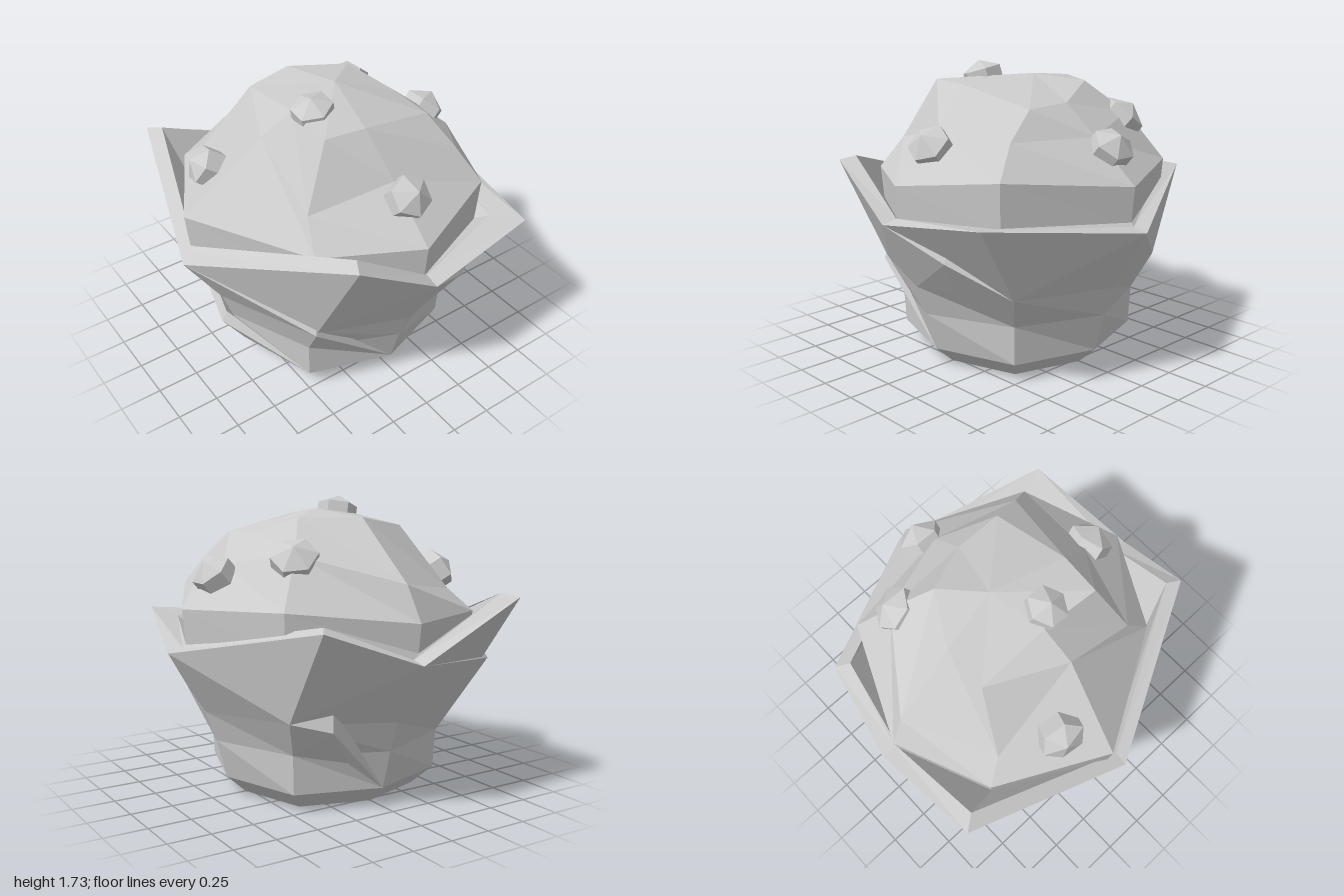
import * as THREE from 'three';

const crust = new THREE.MeshStandardMaterial({ color: 0xcccccc, flatShading: true, side: THREE.DoubleSide });
crust.name = 'pale grey';

// Mesh from a list of triangles, each three [x, y, z] points
function facets(name, tris) {
  const geo = new THREE.BufferGeometry();
  geo.setAttribute('position', new THREE.Float32BufferAttribute(tris.flat(2), 3));
  geo.computeVertexNormals();
  const mesh = new THREE.Mesh(geo, crust);
  mesh.name = name;
  return mesh;
}

// Joins two closed rings; alternating the split makes pleated facets
function band(lo, hi, alternate = false) {
  const tris = [];
  lo.forEach((a, i) => {
    const j = (i + 1) % lo.length, b = lo[j], c = hi[j], d = hi[i];
    if (alternate && i % 2) tris.push([a, b, c], [a, c, d]);
    else tris.push([a, b, d], [b, c, d]);
  });
  return tris;
}

const fan = (ring, tip) => ring.map((p, i) => [p, ring[(i + 1) % ring.length], tip]);
const shrink = (p, s, dy = 0) => [p[0] * s, p[1] + dy, p[2] * s];

// Eight points, on the axes at radius a and on the diagonals at (d, d)
const octagon = (a, d, y) => [[0, y, a], [d, y, d], [a, y, 0], [d, y, -d],
  [0, y, -a], [-d, y, -d], [-a, y, 0], [-d, y, d]];

export function createModel() {
  const model = new THREE.Group();
  model.name = 'muffin';

  // Uneven domed cake top
  const brim = [[-0.07, 1.13, 0.93], [0.62, 1.11, 0.53], [0.91, 1.12, 0], [0.68, 1.19, -0.58],
    [0, 1.12, -0.91], [-0.62, 1.15, -0.62], [-0.92, 1.08, 0.04], [-0.69, 1.08, 0.6]];
  const shoulder = [[0.02, 1.53, 0.47], [0.48, 1.28, 0.48], [0.6, 1.38, 0], [0.53, 1.37, -0.5],
    [0.02, 1.36, -0.64], [-0.46, 1.43, -0.46], [-0.82, 1.28, 0.02], [-0.56, 1.2, 0.52]];
  const crown = [[0.02, 1.62, 0.26], [0.37, 1.63, 0.29], [0.39, 1.62, 0.04], [0.33, 1.52, -0.44],
    [0.04, 1.53, -0.44], [-0.25, 1.62, -0.31], [-0.43, 1.62, 0], [-0.43, 1.57, 0.26]];
  const skirt = brim.map(p => [p[0] * 0.98, 0.92, p[2] * 0.98]);
  model.add(facets('cakeTop', [...band(skirt, brim), ...band(brim, shoulder),
    ...band(shoulder, crown), ...fan(crown, [-0.06, 1.66, -0.08])]));

  // Paper cup: rings from the foot to the pointed rim, then in to the cake
  const foot = octagon(0.53, 0.4, 0);
  const base = octagon(0.65, 0.49, 0.11);
  const low = octagon(0.715, 0.5, 0.34);
  const mid = [[0, 0.52, 0.78], [0.6, 0.54, 0.51], [0.78, 0.52, 0], [0.62, 0.55, -0.62],
    [0, 0.52, -0.78], [-0.6, 0.55, -0.58], [-0.78, 0.52, 0], [-0.6, 0.56, 0.58]];
  const rim = [[0, 0.87, 1], [0.94, 1.2, 0.48], [1, 0.92, 0], [0.93, 1.01, -0.71],
    [0, 0.88, -1], [-0.87, 1.07, -0.54], [-1, 0.87, 0], [-0.96, 1.18, 0.71]];
  const inner = rim.map(p => shrink(p, 0.91, 0.02));
  inner[0] = [0, 0.91, 0.92];
  inner[3] = [0.74, 0.97, -0.61];
  model.add(facets('paperCup', [
    ...fan(foot, [0, 0, 0]).map(t => [t[1], t[0], t[2]]),
    ...band(foot, base), ...band(base, low), ...band(low, mid),
    ...band(mid, rim, true), ...band(rim, inner, true), ...band(inner, skirt, true)]));

  // Overlapping paper folds: outer edge, the line where each meets the cup, lip height
  const folds = [
    { edge: [rim[0], shrink(mid[1], 1.03), base[2]], lower: [mid[0], low[1], base[2]], rise: 0.07 },
    { edge: [rim[2], [0.85, 0.74, -0.33], mid[3]], lower: [mid[2], [0.72, 0.53, -0.25], mid[3]], rise: 0.07 },
    { edge: [mid[5], [-0.72, 0.5, -0.38], base[6]], lower: [low[5], [-0.66, 0.3, -0.25], base[6]], rise: 0.14 },
    { edge: [rim[6], [-0.73, 0.8, 0.69], [-0.02, 0.3, 0.78], base[1]],
      lower: [mid[6], low[7], base[0], base[1]], rise: 0.07 },
  ];
  folds.forEach(({ edge, lower, rise }) => {
    const last = edge.length - 1;
    const lip = edge.map((p, i) => (i === last ? p : shrink(p, i ? 0.96 : 0.92, i ? rise : 0.02)));
    const tris = [];
    for (let i = 0; i < last; i++) {
      tris.push([lower[i], edge[i + 1], edge[i]], [edge[i], lip[i + 1], lip[i]]);
      if (i < last - 1) {
        tris.push([lower[i], lower[i + 1], edge[i + 1]], [edge[i], edge[i + 1], lip[i + 1]]);
      }
    }
    model.add(facets('paperFold', tris));
  });

  // Chunky six-sided chips: position, outward direction and stretch
  const chips = [
    [[0.1, 1.62, 0.18], [0.15, 1, 0.25], [0.95, 0.8, 1]],
    [[-0.24, 1.27, 0.67], [-0.3, 0.5, 0.75], [1.1, 0.85, 0.95]],
    [[0.66, 1.285, -0.03], [0.7, 0.7, -0.1], [1, 1, 1.1]],
    [[-0.02, 1.28, -0.7], [0, 0.7, -0.6], [1.08, 0.95, 1]],
    [[-0.42, 1.38, -0.43], [-0.5, 0.75, -0.4], [1.1, 0.95, 1.1]],
  ];
  const up = new THREE.Vector3(0, 1, 0);
  chips.forEach(([pos, out, size]) => {
    const chip = new THREE.Mesh(new THREE.SphereGeometry(0.14, 6, 3), crust);
    chip.name = 'chip';
    chip.position.set(...pos);
    chip.scale.set(...size);
    chip.quaternion.setFromUnitVectors(up, new THREE.Vector3(...out).normalize());
    model.add(chip);
  });

  return model;
}
